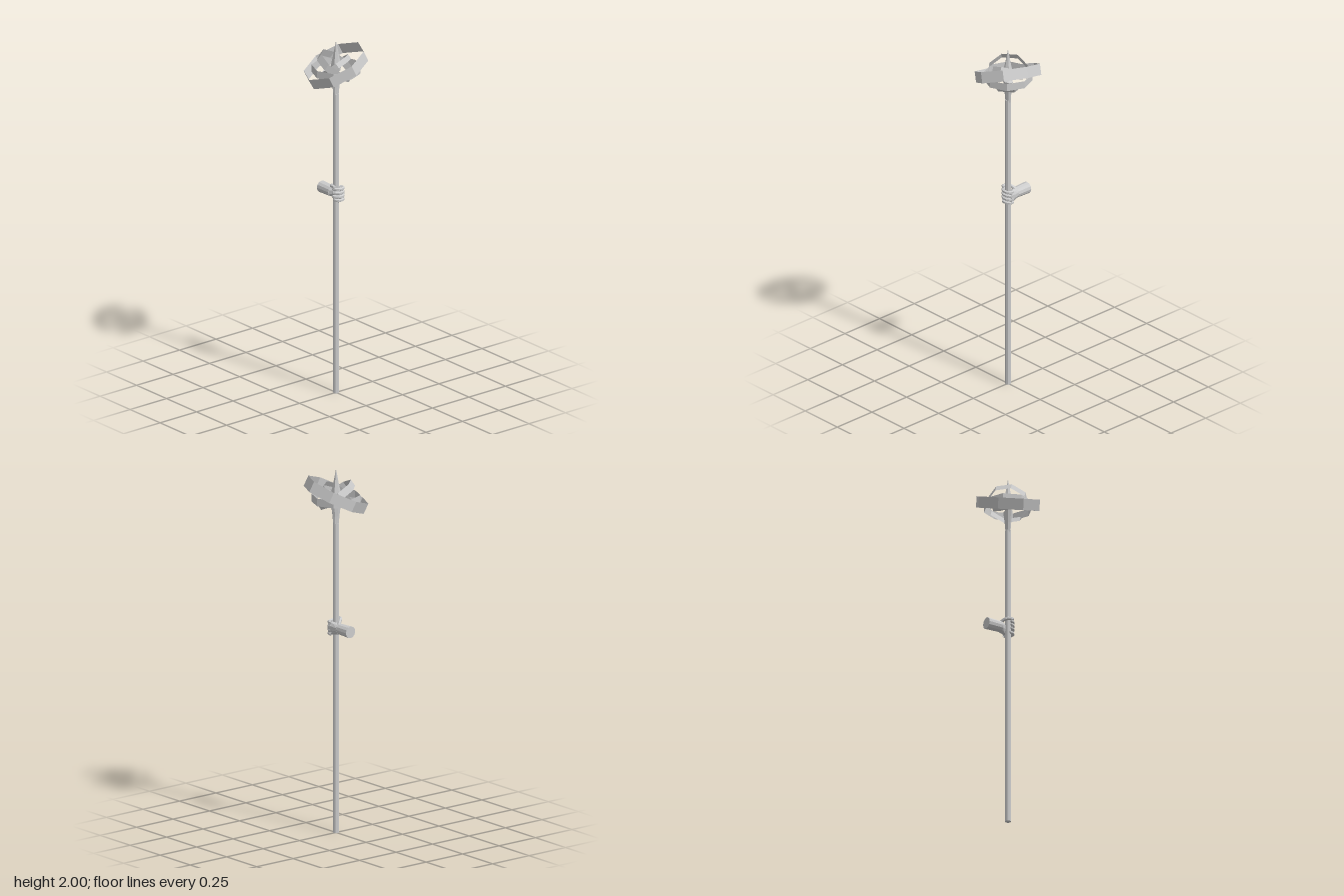
import * as THREE from 'three';

const grey = new THREE.MeshStandardMaterial({ color: 0xcccccc, flatShading: true });
const thin = new THREE.MeshStandardMaterial({ color: 0xcccccc, flatShading: true, side: THREE.DoubleSide });
const V = (x, y, z) => new THREE.Vector3(x, y, z);

export function createModel() {
  const group = new THREE.Group();
  const add = (parent, name, geometry, material = grey) => {
    const mesh = new THREE.Mesh(geometry, material);
    mesh.name = name;
    parent.add(mesh);
    return mesh;
  };
  const lathe = (points, sides) =>
    new THREE.LatheGeometry(points.map(([r, y]) => new THREE.Vector2(r, y)), sides);

  // Long pole
  add(group, 'shaft', new THREE.CylinderGeometry(0.016, 0.016, 1.7, 8)).position.y = 0.85;

  // Socket flaring sideways out of the pole
  const socket = add(group, 'socket', lathe([[0.016, 1.68], [0.022, 1.74], [0.032, 1.81], [0, 1.82]], 8));
  socket.scale.z = 0.65;

  // Faceted crystal point
  add(group, 'crystal', lathe([[0, 1.8], [0.024, 1.83], [0.028, 1.86], [0.015, 1.92], [0, 2.0]], 6));

  // Thin octagonal bands; axis is the band's own up, corner points at one vertex
  const rings = new THREE.Group();
  rings.name = 'rings';
  group.add(rings);
  const ring = (name, radius, height, y, axis, corner) => {
    const up = axis.normalize();
    const out = corner.addScaledVector(up, -corner.dot(up)).normalize();
    const side = V(0, 0, 0).crossVectors(up, out);
    const mesh = add(rings, name, new THREE.CylinderGeometry(radius, radius, height, 8, 1, true), thin);
    mesh.quaternion.setFromRotationMatrix(new THREE.Matrix4().makeBasis(side, up, out));
    mesh.position.y = y;
  };
  ring('outerRing', 0.176, 0.06, 1.857, V(-0.38, 0.9, -0.18), V(0.019, -0.027, -0.173));
  ring('levelRing', 0.13, 0.042, 1.838, V(0, 1, 0), V(0, 0, 1));
  ring('middleRing', 0.111, 0.041, 1.857, V(0.395, 0.83, 0.395), V(0.052, 0.02, -0.095));
  ring('innerRing', 0.087, 0.029, 1.857, V(-0.28, 0.78, -0.53), V(0.03, 0, -0.075));

  // Hand gripping the pole
  const hand = new THREE.Group();
  hand.name = 'hand';
  group.add(hand);
  const wrist = add(hand, 'wrist', new THREE.CylinderGeometry(0.029, 0.032, 0.09, 12));
  wrist.rotation.x = Math.PI / 2;
  wrist.position.set(0.008, 1.13, -0.086);

  // Palm: tapers from the wrist to a flat slab beside the pole
  const palmShape = new THREE.CylinderGeometry(1, 1, 1, 10, 2).rotateX(Math.PI / 2);
  const p = palmShape.attributes.position;
  for (let i = 0; i < p.count; i++) {
    const t = p.getZ(i) + 0.5;
    p.setXYZ(i,
      p.getX(i) * (0.029 - 0.018 * t) + 0.008 + 0.026 * t,
      p.getY(i) * (0.029 + 0.009 * t) + 1.13,
      -0.045 + 0.06 * t);
  }
  palmShape.computeVertexNormals();
  add(hand, 'palm', palmShape);

  // Fingers and thumb: bent tubes with closed tips
  const digit = (name, points, radius) => {
    const curve = new THREE.CatmullRomCurve3(points);
    add(hand, name, new THREE.TubeGeometry(curve, 7, radius, 6), thin);
    const tip = add(hand, name + 'Tip', new THREE.IcosahedronGeometry(radius, 0));
    tip.position.copy(points[points.length - 1]);
  };
  for (let i = 0; i < 4; i++) {
    const y = 1.098 + i * 0.021;
    const reach = i === 0 ? -0.016 : -0.024;
    digit('finger' + (i + 1), [
      V(0.034, y, -0.005), V(0.037, y, 0.014), V(0.018, y, 0.028),
      V(-0.01, y + 0.002, 0.027), V(reach, y + 0.003, 0.008),
    ], 0.009);
  }
  digit('thumb', [
    V(0.018, 1.148, -0.042), V(0.002, 1.167, -0.032), V(-0.019, 1.176, -0.014), V(-0.024, 1.177, 0.012),
  ], 0.01);

  return group;
}
